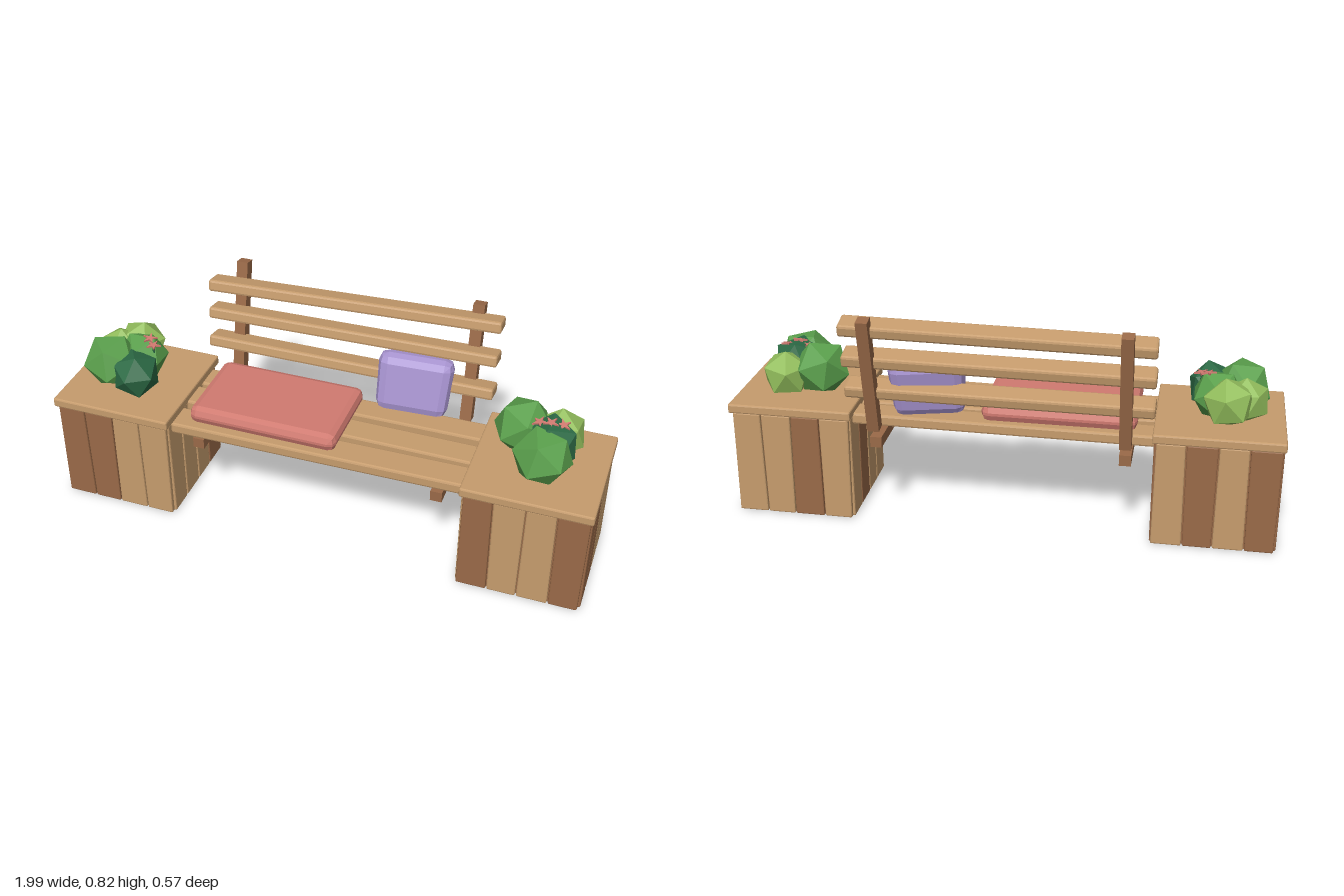
import * as THREE from 'three';
import { RoundedBoxGeometry } from 'three/addons/geometries/RoundedBoxGeometry.js';

const mat = (name, color) => {
  const m = new THREE.MeshStandardMaterial({ color });
  m.name = name;
  return m;
};

// Box with flat chamfered edges; taper widens the +y end
function chamferBox(w, h, d, c, taper = 0) {
  const g = new RoundedBoxGeometry(w, h, d, 1, c);
  const p = g.attributes.position;
  for (let i = 0; i < p.count; i++) p.setX(i, p.getX(i) * (1 + (taper * p.getY(i)) / h));
  g.computeVertexNormals();
  return g;
}

export function createModel() {
  const model = new THREE.Group();
  const lightWood = mat('light wood', 0xc69c6d);
  const darkWood = mat('dark wood', 0x9a6a48);
  const red = mat('coral fabric', 0xd07a70);
  const purple = mat('lilac fabric', 0xa995d2);
  const leaf = {
    M: mat('mid leaf', 0x5a9f4c),
    D: mat('dark leaf', 0x2c6a45),
    L: mat('light leaf', 0x92bd5c),
  };

  function add(parent, name, geo, material, pos, rot = [0, 0, 0]) {
    const m = new THREE.Mesh(geo, material);
    m.name = name;
    m.position.set(...pos);
    m.rotation.set(...rot);
    parent.add(m);
    return m;
  }

  // Planter: dark core, four planks per side, overhanging lid.
  // Plank tones run left to right seen from outside: front, right, back, left.
  function planter(name, x, tones) {
    const g = new THREE.Group();
    g.name = name;
    g.position.set(x, 0, 0.052);
    add(g, 'planterCore', new THREE.BoxGeometry(0.42, 0.39, 0.42), darkWood, [0, 0.2, 0]);
    tones.forEach((row, side) => {
      const face = new THREE.Group();
      face.name = 'planterSide';
      face.rotation.y = (side * Math.PI) / 2;
      const pitch = side % 2 ? 0.104 : 0.109;
      [...row].forEach((tone, i) => {
        const taper = (i + side) % 2 ? 0.07 : -0.07;
        add(face, 'plank', chamferBox(pitch - 0.004, 0.396, 0.022, 0.005, taper),
          tone === 'D' ? darkWood : lightWood, [(i - 1.5) * pitch, 0.2, 0.212]);
      });
      g.add(face);
    });
    add(g, 'planterLid', chamferBox(0.456, 0.035, 0.464, 0.006), lightWood, [0, 0.416, 0]);
    model.add(g);
  }
  planter('leftPlanter', 0.766, ['DLLD', 'DDLL', 'LLDL', 'LDLL']);
  planter('rightPlanter', -0.766, ['DDLL', 'LLLD', 'LDLD', 'DDLD']);

  // Seat slats and cross beams
  [[-0.08, 0.1, 0.006], [0.05, 0.105, -0.004], [0.185, 0.108, 0.01]].forEach(([z, d, tilt]) =>
    add(model, 'seatSlat', chamferBox(1.09, 0.042, d, 0.008), lightWood, [0, 0.386, z], [0, 0, tilt]));
  for (const s of [-1, 1]) {
    add(model, 'seatBeam', new THREE.BoxGeometry(0.042, 0.04, 0.39), darkWood, [s * 0.447, 0.322, 0.025]);
    add(model, 'backPost', new THREE.BoxGeometry(0.042, 0.45, 0.044), darkWood, [s * 0.447, 0.601, -0.22], [-0.2, 0, 0]);
  }

  // Leaning backrest slats: y, z, yaw, roll
  [[0.767, -0.2, 0.024, 0.028], [0.65, -0.182, 0.01, 0.014], [0.53, -0.164, 0, 0.004]].forEach(([y, z, yaw, roll]) =>
    add(model, 'backSlat', chamferBox(1.09, 0.044, 0.084, 0.009), lightWood, [0, y, z], [-0.2, yaw, roll]));

  // Cushions
  add(model, 'seatCushion', chamferBox(0.555, 0.066, 0.342, 0.028), red, [-0.203, 0.439, 0.05]);
  add(model, 'backCushion', chamferBox(0.265, 0.22, 0.09, 0.034, 0.06), purple, [0.262, 0.535, -0.113], [-0.2, 0.14, -0.03]);

  // Faceted bushes, flattened where they meet the lid: tone, x, y, z, radius
  function bush(name, blobs) {
    const g = new THREE.Group();
    g.name = name;
    blobs.forEach(([tone, x, y, z, r], i) => {
      const geo = new THREE.IcosahedronGeometry(r, 0);
      geo.rotateX(0.5 + i * 0.9).rotateY(i * 1.3 + x);
      const p = geo.attributes.position;
      for (let k = 0; k < p.count; k++) p.setY(k, Math.max(p.getY(k), 0.434 - y));
      geo.computeVertexNormals();
      add(g, 'leafClump', geo, leaf[tone], [x, y, z]);
    });
    model.add(g);
  }
  bush('leftBush', [
    ['M', 0.78, 0.515, 0.125, 0.108], ['M', 0.685, 0.53, -0.005, 0.108],
    ['L', 0.81, 0.51, -0.035, 0.092], ['D', 0.79, 0.525, 0.05, 0.1],
  ]);
  bush('rightBush', [
    ['M', -0.835, 0.52, 0.1, 0.108], ['D', -0.73, 0.505, 0.125, 0.092],
    ['L', -0.79, 0.515, -0.05, 0.095], ['M', -0.75, 0.515, 0.02, 0.095],
    ['L', -0.85, 0.51, -0.005, 0.085],
  ]);

  // Small star blossoms on short stems
  const star = new THREE.Shape();
  for (let i = 0; i < 10; i++) {
    const r = i % 2 ? 0.01 : 0.028, a = (i * Math.PI) / 5;
    star[i ? 'lineTo' : 'moveTo'](r * Math.cos(a), r * Math.sin(a));
  }
  const starGeo = new THREE.ExtrudeGeometry(star, { depth: 0.007, bevelEnabled: false }).rotateX(-Math.PI / 2);
  const stemGeo = new THREE.CylinderGeometry(0.005, 0.005, 0.07, 5);
  [[0.745, 0.592, 0.045], [0.785, 0.605, 0.055], [0.825, 0.595, 0.04],
    [-0.715, 0.592, 0.02], [-0.69, 0.582, 0.045]].forEach(([x, y, z], i) => {
    add(model, 'blossom', starGeo, red, [x, y, z], [0.1, i, 0.1]);
    add(model, 'blossomStem', stemGeo, leaf.D, [x, y - 0.034, z]);
  });

  return model;
}
